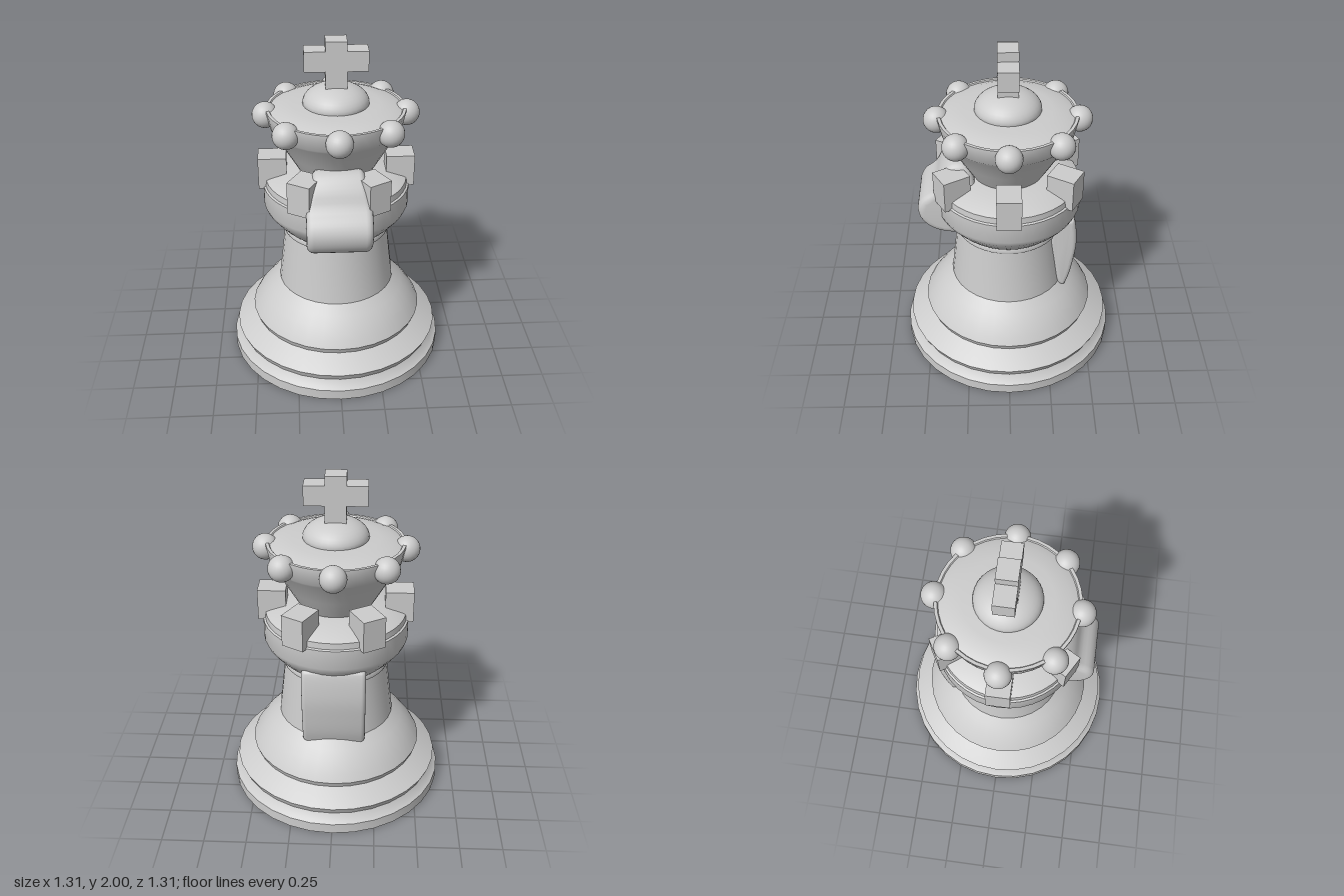
import * as THREE from 'three';
import { toCreasedNormals } from 'three/addons/utils/BufferGeometryUtils.js';

const stone = new THREE.MeshStandardMaterial({ color: 0xcccccc });
stone.name = 'pale grey';

function add(group, name, geometry) {
  const mesh = new THREE.Mesh(geometry, stone);
  mesh.name = name;
  group.add(mesh);
  return mesh;
}

// Turned part from [radius, height] pairs, listed from bottom to top
function turned(points, segments, crease = 0.6) {
  const profile = points.map(([r, y]) => new THREE.Vector2(r, y));
  return toCreasedNormals(new THREE.LatheGeometry(profile, segments), crease);
}

// Rounded block: a smooth side outline of [z, y] points, spread across x
function sideBlock(points, halfWidth, bevel, widthAt) {
  const curve = new THREE.SplineCurve(points.map(([z, y]) => new THREE.Vector2(z, y)));
  const shape = new THREE.Shape(curve.getPoints(40));
  const geo = new THREE.ExtrudeGeometry(shape, {
    depth: 2 * (halfWidth - bevel), steps: 1, bevelEnabled: true,
    bevelThickness: bevel, bevelSize: bevel, bevelOffset: -bevel, bevelSegments: 4,
  });
  geo.translate(0, 0, -(halfWidth - bevel));
  geo.rotateY(-Math.PI / 2);
  const p = geo.attributes.position;
  for (let i = 0; i < p.count; i++) p.setX(i, p.getX(i) * widthAt(p.getY(i)));
  return toCreasedNormals(geo, 0.7);
}

export function createModel() {
  const model = new THREE.Group();
  model.name = 'chessPiece';

  // Stepped base and tapering shaft
  add(model, 'base', turned([
    [0, 0], [0.655, 0], [0.655, 0.065], [0.635, 0.08], [0.612, 0.118], [0.63, 0.16],
    [0.575, 0.197], [0.512, 0.235], [0.525, 0.27], [0.5, 0.315], [0.455, 0.375],
    [0.41, 0.425], [0.352, 0.475],
  ], 32, 0.8));
  add(model, 'shaft', turned([[0.352, 0.475], [0.331, 0.65], [0.31, 0.835]], 32));

  // Bulging collar with a stepped, sloping ledge
  add(model, 'collar', turned([
    [0.28, 0.832], [0.318, 0.832], [0.322, 0.845], [0.315, 0.862], [0.335, 0.88],
    [0.38, 0.93], [0.415, 0.975], [0.43, 1.01], [0.43, 1.13], [0.418, 1.135],
    [0.415, 1.172], [0.395, 1.182], [0.3, 1.215], [0.2, 1.225],
  ], 40, 0.75));

  // Flaring crown with a rim and a shallow lid
  add(model, 'crown', turned([
    [0.2, 1.2], [0.225, 1.24], [0.285, 1.345], [0.365, 1.485], [0.378, 1.5],
    [0.398, 1.59], [0.398, 1.605], [0.38, 1.605], [0.375, 1.598], [0.33, 1.615],
    [0.25, 1.625], [0, 1.63],
  ], 40, 0.7));

  // Domed top with a small knob
  const dome = [];
  for (let i = 0; i <= 10; i++) {
    const a = (i / 10) * Math.PI / 2;
    dome.push([0.19 * Math.cos(a), 1.63 + 0.11 * Math.sin(a)]);
  }
  add(model, 'dome', turned([[0.18, 1.6], ...dome], 32, 0.9));
  add(model, 'knob', new THREE.SphereGeometry(0.072, 20, 14)).position.y = 1.685;

  // Cross on top
  const h = 0.06, w = 0.178;
  const outline = [
    [-h, 1.7], [h, 1.7], [h, 1.83], [w, 1.83], [w, 1.945], [h, 1.945],
    [h, 2], [-h, 2], [-h, 1.945], [-w, 1.945], [-w, 1.83], [-h, 1.83],
  ].map(([x, y]) => new THREE.Vector2(x, y));
  const cross = new THREE.ExtrudeGeometry(new THREE.Shape(outline), { depth: 0.116, bevelEnabled: false });
  cross.translate(0, 0, -0.058);
  add(model, 'cross', cross);

  // Eight balls around the crown
  const ballGeo = new THREE.SphereGeometry(0.075, 24, 16);
  for (let i = 0; i < 8; i++) {
    const a = (i * Math.PI) / 4;
    add(model, 'crownBall', ballGeo).position.set(0.402 * Math.cos(a), 1.56, 0.402 * Math.sin(a));
  }

  // Six battlement blocks on the ledge
  const blockGeo = new THREE.BoxGeometry(0.165, 0.19, 0.14);
  for (let i = 0; i < 6; i++) {
    const a = (i * Math.PI) / 3;
    const block = add(model, 'battlement', blockGeo);
    block.position.set(0.372 * Math.cos(a), 1.217, 0.372 * Math.sin(a));
    block.rotation.y = -a;
  }

  // Front snout, narrowing toward the brow
  add(model, 'snout', sideBlock([
    [0.2, 0.9], [0.31, 0.875], [0.43, 0.9], [0.505, 0.965], [0.528, 1.05], [0.5, 1.12],
    [0.43, 1.18], [0.385, 1.27], [0.315, 1.335], [0.22, 1.31], [0.18, 1.1], [0.2, 0.9],
  ], 0.185, 0.04, (y) => 1 - 0.22 * THREE.MathUtils.smoothstep(y, 1.15, 1.34)));

  // Curved plate down the back
  add(model, 'backPlate', sideBlock([
    [-0.35, 0.45], [-0.305, 0.475], [-0.275, 0.65], [-0.25, 0.82], [-0.28, 0.93], [-0.37, 0.968],
    [-0.398, 0.93], [-0.41, 0.78], [-0.395, 0.64], [-0.375, 0.53], [-0.35, 0.45],
  ], 0.185, 0.025, () => 1));

  return model;
}
